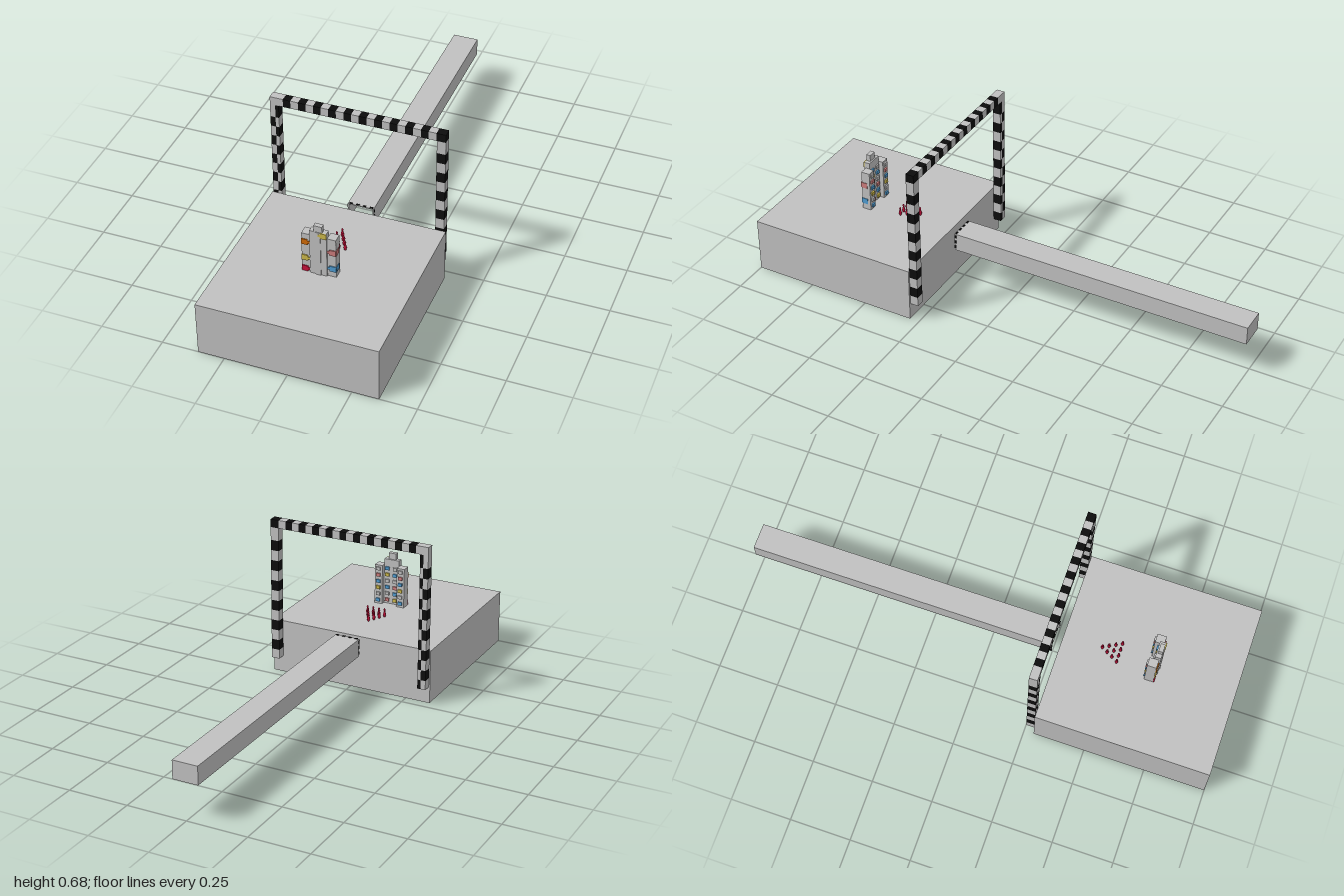
import * as THREE from 'three';

const paint = (name, hex) => {
  const m = new THREE.MeshStandardMaterial({ color: hex });
  m.name = name;
  return m;
};

export function createModel() {
  const grey = paint('grey', 0xc0c0c0);
  const black = paint('black', 0x0d0d0d);
  const crimson = paint('crimson', 0xc8103a);
  const orange = paint('orange', 0xd06a08);
  const yellow = paint('yellow', 0xccb84a);
  const pink = paint('pink', 0xcc7c7c);
  const blue = paint('blue', 0x4f9bd0);

  const model = new THREE.Group();
  model.name = 'bowlingSet';
  const group = (name) => {
    const g = new THREE.Group();
    g.name = name;
    model.add(g);
    return g;
  };
  // Box given by its two extreme corners
  const box = (parent, name, mat, x0, x1, y0, y1, z0, z1) => {
    const m = new THREE.Mesh(new THREE.BoxGeometry(x1 - x0, y1 - y0, z1 - z0), mat);
    m.position.set((x0 + x1) / 2, (y0 + y1) / 2, (z0 + z1) / 2);
    m.name = name;
    parent.add(m);
    return m;
  };

  const top = 0.228;
  box(model, 'base', grey, -0.355, 0.355, 0, top, 0.29, 1);

  // Lane: a channel open below and towards the base
  const lane = group('lane');
  const lw = 0.053, t = 0.004, ly = 0.155, lt = 0.231;
  box(lane, 'laneTop', grey, -lw, lw, lt - t, lt, -1, 0.26);
  for (const s of [-1, 1]) {
    const x = s * (lw - t / 2);
    box(lane, 'laneWall', grey, x - t / 2, x + t / 2, ly, lt - t, -1, 0.26);
    for (let i = 0; i < 3; i++) {
      const y = 0.165 + i * 0.024;
      box(lane, 'laneMark', black, s * (lw + 0.001) - 0.001, s * (lw + 0.001) + 0.001, y, y + 0.012, 0.252, 0.26);
    }
  }
  box(lane, 'laneEnd', grey, -lw + t, lw - t, ly, lt - t, -1, -1 + t);
  for (let i = 0; i < 4; i++) {
    const x = -0.048 + i * 0.028;
    box(lane, 'laneMark', black, x, x + 0.013, lt, lt + 0.002, 0.252, 0.26);
  }

  // Chequered gate: stacked blocks in alternating colours
  const gate = group('gate');
  const z0 = 0.256, z1 = 0.29, beamY = 0.643, gateTop = 0.677, step = 0.0435;
  const stack = (name, x0, x1, odd) => {
    for (let i = 0, y = 0.588 + step; y > 0.0701; i++, y -= step) {
      const hi = i === 0 ? beamY : y;
      box(gate, name, i % 2 === odd ? black : grey, x0, x1, Math.max(0.07, y - step), hi, z0, z1);
    }
  };
  stack('leftPost', 0.313, 0.348, 1);
  stack('rightPostOuter', -0.35, -0.329, 1);
  stack('rightPostInner', -0.329, -0.315, 0);
  const seg = 0.0304;
  box(gate, 'beam', grey, -0.35, -0.297, beamY, gateTop, z0, z1);
  for (let i = 0; i < 21; i++) {
    const x = -0.297 + i * seg;
    box(gate, 'beam', i % 2 ? grey : black, x, i === 20 ? 0.348 : x + seg, beamY, gateTop, z0, z1);
  }

  // Ten pins, the point of the triangle towards the lane
  const pins = group('pins');
  const profile = [[0, 0], [0.004, 0], [0.0065, 0.012], [0.003, 0.025], [0.0042, 0.033], [0, 0.039]]
    .map(([x, y]) => new THREE.Vector2(x, y));
  const pinGeometry = new THREE.LatheGeometry(profile, 12);
  for (let row = 0; row < 4; row++) {
    for (let i = 0; i <= row; i++) {
      const pin = new THREE.Mesh(pinGeometry, crimson);
      pin.position.set((i - row / 2) * 0.026, top, 0.45 + row * 0.0235);
      pin.name = 'pin';
      pins.add(pin);
    }
  }

  // Stepped cabinet with two wings
  const cabinet = group('cabinet');
  box(cabinet, 'centrePanel', grey, -0.034, 0.033, top, 0.425, 0.662, 0.686);
  box(cabinet, 'crown', grey, -0.017, 0.016, 0.425, 0.452, 0.668, 0.686);
  box(cabinet, 'centreRib', grey, -0.01, 0.01, top, 0.425, 0.686, 0.689);
  box(cabinet, 'rightWing', grey, -0.068, -0.034, top, 0.4, 0.643, 0.68);
  box(cabinet, 'leftWing', grey, 0.033, 0.067, top, 0.4, 0.643, 0.68);

  // Colour tags, each with a small neck towards the middle
  const tag = (mat, x0, x1, neckEnd, y, z) => {
    box(cabinet, 'tag', mat, x0, x1, y - 0.012, y + 0.012, z, z + 0.004);
    const a = neckEnd < x0 ? neckEnd : x1, b = neckEnd < x0 ? x0 : neckEnd;
    box(cabinet, 'tagNeck', mat, a, b, y - 0.005, y + 0.005, z, z + 0.004);
  };
  tag(orange, -0.068, -0.043, -0.035, 0.364, 0.68);
  tag(yellow, -0.068, -0.043, -0.035, 0.29, 0.68);
  tag(crimson, -0.068, -0.043, -0.035, 0.24, 0.68);
  tag(pink, 0.042, 0.067, 0.034, 0.34, 0.68);
  tag(blue, 0.042, 0.067, 0.034, 0.265, 0.68);
  tag(yellow, 0.009, 0.033, 0.001, 0.413, 0.686);
  box(cabinet, 'sideTag', pink, 0.067, 0.069, 0.328, 0.352, 0.655, 0.68);
  box(cabinet, 'sideTag', blue, 0.067, 0.069, 0.253, 0.277, 0.655, 0.68);

  // Small coloured studs on the back
  const studColours = [blue, grey, yellow, blue, pink, grey];
  for (let r = 0; r < 6; r++) {
    [-0.051, -0.018, 0.017, 0.05].forEach((x, c) => {
      const z = Math.abs(x) > 0.034 ? 0.643 : 0.662;
      const y = 0.245 + r * 0.028;
      box(cabinet, 'stud', studColours[(r + c * 2) % 6], x - 0.009, x + 0.009, y - 0.007, y + 0.007, z - 0.006, z);
    });
  }
  return model;
}
